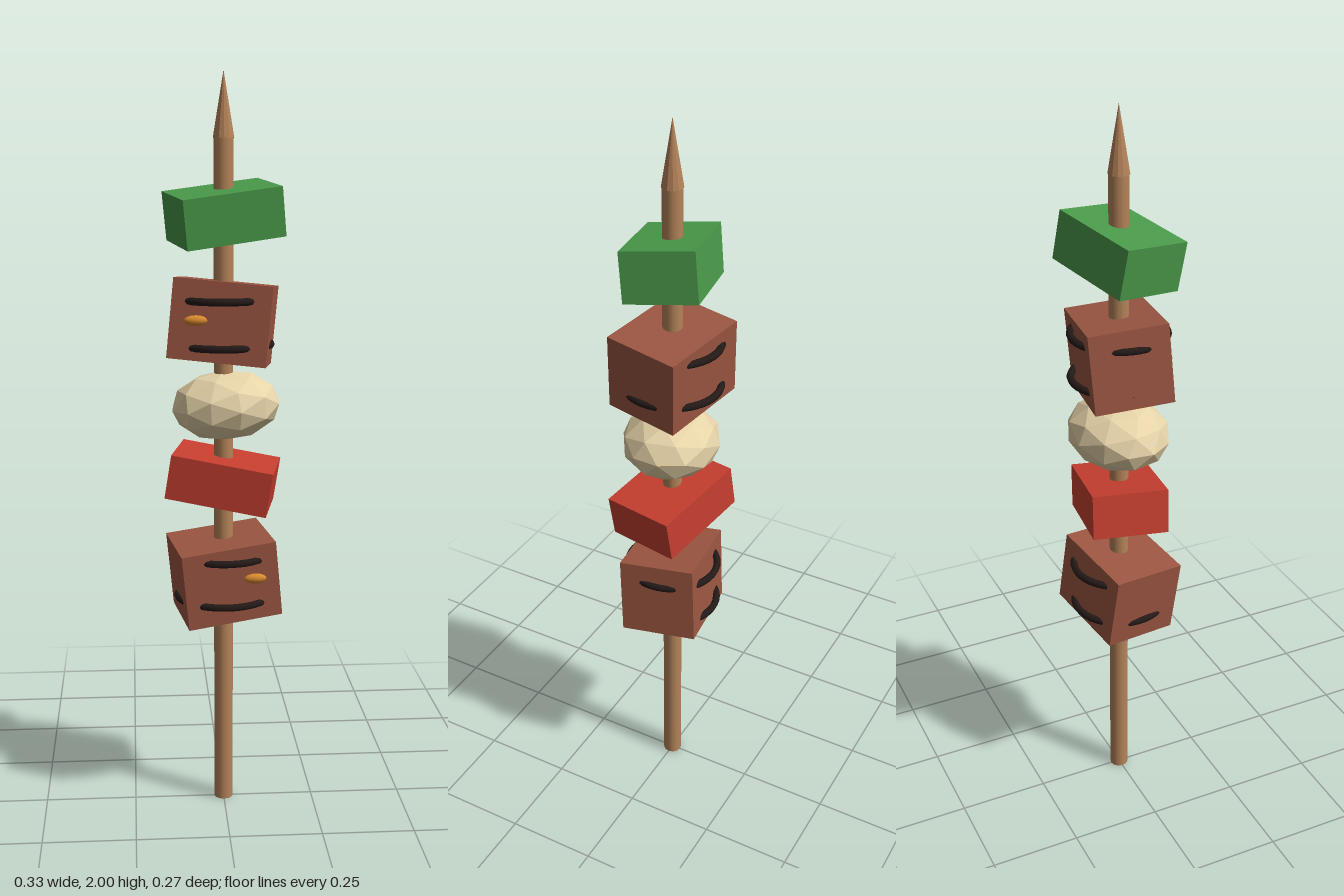
import * as THREE from 'three';

const paint = (color, flatShading = false) => new THREE.MeshStandardMaterial({ color, flatShading });
const WOOD = paint(0xb5845a);
const WOOD_FLAT = paint(0xb5845a, true);
const MEAT = paint(0x9c5642, true);
const CHAR = paint(0x241a18);
const SPICE = paint(0xd98a2e);
const GREEN = paint(0x4a9a4a, true);
const RED = paint(0xc63f30, true);
const ONION = paint(0xe6d3a8, true);

function part(name, geometry, material, position, rotation = [0, 0, 0]) {
  const mesh = new THREE.Mesh(geometry, material);
  mesh.name = name;
  mesh.position.set(...position);
  mesh.rotation.set(...rotation);
  return mesh;
}

// Tilted meat cube with two level char rings that surface on its faces, and a spice fleck.
// side = 1 or -1 chooses the direction of the tilt.
function meatChunk(name, y, side) {
  const chunk = new THREE.Group();
  chunk.name = name;
  chunk.position.y = y;
  chunk.add(part('meatCube', new THREE.BoxGeometry(0.26, 0.21, 0.21), MEAT,
    [0, 0, 0], [0.07 * side, 0.17 * side, 0.1 * side]));
  for (const h of [-0.06, 0.061]) {
    chunk.add(part('charMark', new THREE.TorusGeometry(0.126, 0.01, 8, 40), CHAR,
      [0, h, 0], [Math.PI / 2, 0, 0]));
  }
  const fleck = part('spiceFleck', new THREE.SphereGeometry(1, 12, 8), SPICE, [0.078 * side, 0.012, 0.094]);
  fleck.scale.set(0.032, 0.014, 0.014);
  chunk.add(fleck);
  return chunk;
}

export function createModel() {
  const model = new THREE.Group();
  model.name = 'skewer';

  // Wooden stick and its sharpened tip
  model.add(part('stick', new THREE.CylinderGeometry(0.026, 0.026, 1.83, 12), WOOD, [0, 0.915, 0]));
  model.add(part('stickTip', new THREE.ConeGeometry(0.028, 0.17, 12), WOOD_FLAT, [0, 1.915, 0]));

  // Food, from the bottom up
  model.add(meatChunk('lowerMeat', 0.66, 1));
  model.add(part('redPepper', new THREE.BoxGeometry(0.275, 0.12, 0.205), RED,
    [0, 0.93, 0], [0.02, -0.2, -0.16]));

  const onion = part('onion', new THREE.IcosahedronGeometry(1, 1), ONION, [0.006, 1.13, 0], [0, 0.25, 0.06]);
  onion.scale.set(0.15, 0.094, 0.132);
  model.add(onion);

  model.add(meatChunk('upperMeat', 1.356, -1));
  model.add(part('greenPepper', new THREE.BoxGeometry(0.27, 0.13, 0.19), GREEN,
    [0, 1.637, 0], [0.11, 0.26, 0.1]));

  return model;
}
